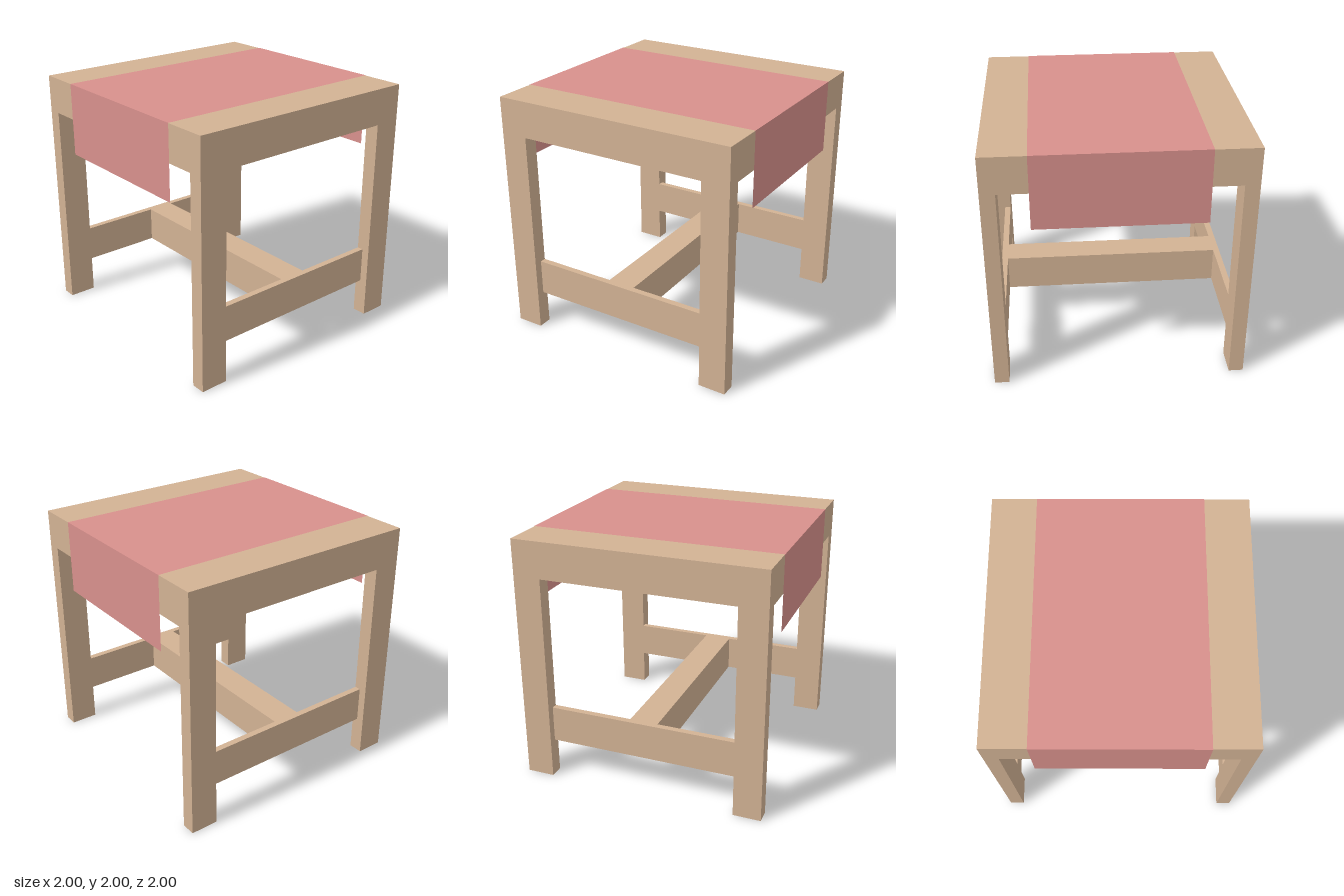
import * as THREE from 'three';

const wood = new THREE.MeshStandardMaterial({ color: 0xd2b294 });
const cloth = new THREE.MeshStandardMaterial({ color: 0xd8908c, side: THREE.DoubleSide });

// Box given by its minimum and maximum corners
function box(name, [x0, y0, z0], [x1, y1, z1]) {
  const geometry = new THREE.BoxGeometry(x1 - x0, y1 - y0, z1 - z0);
  const mesh = new THREE.Mesh(geometry, wood);
  mesh.position.set((x0 + x1) / 2, (y0 + y1) / 2, (z0 + z1) / 2);
  mesh.name = name;
  return mesh;
}

export function createModel() {
  const table = new THREE.Group();
  table.name = 'sideTable';

  const end = 0.998;    // wood stops just under the cloth
  const legX = 0.885;   // inner faces of the legs
  const legZ = 0.775;
  const under = 1.705;  // underside of the top
  const railLow = 0.3, railHigh = 0.595;

  // Thick solid top
  table.add(box('tableTop', [-1, under, -end], [1, 1.998, end]));

  for (const [side, sx] of [['left', 1], ['right', -1]]) {
    // Two legs on each side
    for (const [place, sz] of [['Front', 1], ['Back', -1]]) {
      const leg = box(side + place + 'Leg', [legX, 0, legZ], [1, under, end]);
      leg.position.x *= sx;
      leg.position.z *= sz;
      table.add(leg);
    }
    // Side rail, flush with the inner faces of the legs
    const rail = box(side + 'Rail', [legX, railLow, -legZ], [0.935, railHigh, legZ]);
    rail.position.x *= sx;
    table.add(rail);
  }

  // Wide stretcher joining the side rails
  table.add(box('stretcher', [-legX, railLow, -0.115], [legX, railHigh, 0.115]));

  // Thin runner over the top, hanging down at the front and back
  const runner = new THREE.Group();
  runner.name = 'runner';
  const width = 1.3, drop = 0.59;
  const across = new THREE.Mesh(new THREE.PlaneGeometry(width, 2), cloth);
  across.name = 'runnerTop';
  across.rotation.x = -Math.PI / 2;
  across.position.y = 2;
  runner.add(across);
  for (const [place, sz] of [['Front', 1], ['Back', -1]]) {
    const flap = new THREE.Mesh(new THREE.PlaneGeometry(width, drop), cloth);
    flap.name = 'runner' + place;
    flap.position.set(0, 2 - drop / 2, sz);
    flap.rotation.y = sz > 0 ? 0 : Math.PI;
    runner.add(flap);
  }
  table.add(runner);

  return table;
}
